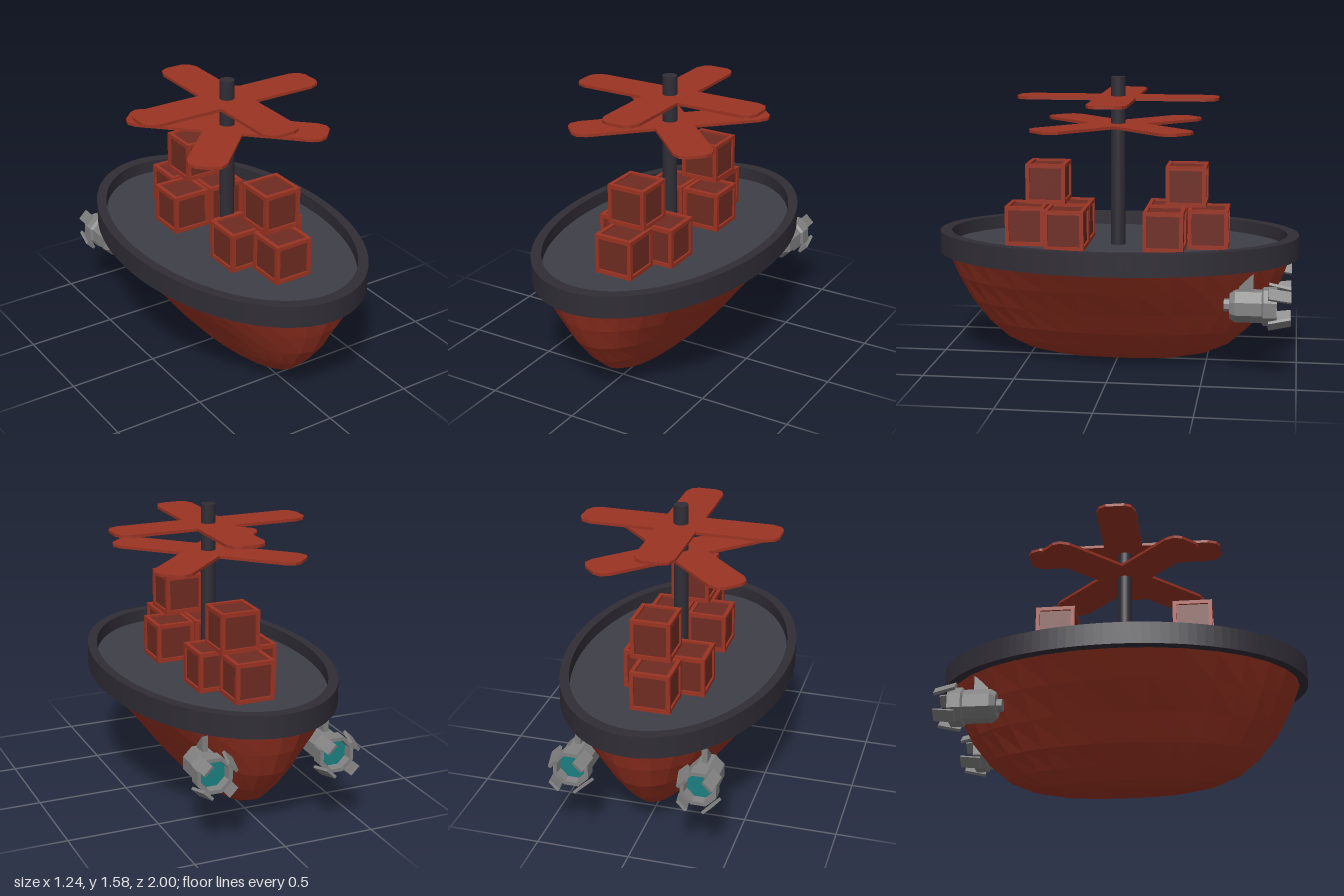
import * as THREE from 'three';

const mat = (color, flatShading = true, side = THREE.FrontSide) =>
  new THREE.MeshStandardMaterial({ color, flatShading, side });
const red = mat(0x9b3322);
const panelRed = mat(0x6e2b21);
const dark = mat(0x302d36, false);
const deckGrey = mat(0x3e3e48);
const metal = mat(0x828282, true, THREE.DoubleSide);
const teal = mat(0x1b7f80, true, THREE.DoubleSide);

function add(parent, name, geometry, material, x = 0, y = 0, z = 0) {
  const mesh = new THREE.Mesh(geometry, material);
  mesh.name = name;
  mesh.position.set(x, y, z);
  parent.add(mesh);
  return mesh;
}

// Hull: stacked elliptical rings, given as [y, half width, half length]
function hullGeometry() {
  const rings = [
    [0, 0, 0], [0, 0.03, 0.18], [0.012, 0.07, 0.34], [0.045, 0.125, 0.5],
    [0.105, 0.19, 0.63], [0.2, 0.27, 0.735], [0.33, 0.367, 0.835],
    [0.47, 0.477, 0.905], [0.6, 0.575, 0.955],
  ];
  const g = new THREE.LatheGeometry(rings.map(([y, , rz]) => new THREE.Vector2(rz, y)), 32);
  const p = g.attributes.position;
  for (let i = 0; i < p.count; i++) {
    const [, rx, rz] = rings[i % rings.length];
    if (rz > 0) p.setX(i, p.getX(i) * rx / rz);
  }
  g.computeVertexNormals();
  return g;
}

// Horizontal elliptical plate or ring standing on y = 0
function ellipsePlate(rx, rz, height, hole) {
  const s = new THREE.Shape().absellipse(0, 0, rx, rz, 0, Math.PI * 2);
  if (hole) s.holes.push(new THREE.Path().absellipse(0, 0, hole[0], hole[1], 0, Math.PI * 2));
  return new THREE.ExtrudeGeometry(s, { depth: height, bevelEnabled: false, curveSegments: 64 })
    .rotateX(-Math.PI / 2);
}

// Four-armed rotor with rounded arm tips
function rotorGeometry() {
  const w = 0.108, arm = [[w, w], [0.48, w], [0.53, 0.088], [0.55, 0.05],
    [0.55, -0.05], [0.53, -0.088], [0.48, -w]];
  const pts = [];
  for (let k = 0; k < 4; k++) {
    const c = Math.round(Math.cos(k * Math.PI / 2)), s = Math.round(Math.sin(k * Math.PI / 2));
    // each arm runs from its clockwise inner corner to its tip
    for (const [x, y] of [...arm].reverse()) pts.push(new THREE.Vector2(x * c - y * s, x * s + y * c));
  }
  return new THREE.ExtrudeGeometry(new THREE.Shape(pts), { depth: 0.016, bevelEnabled: false })
    .rotateX(-Math.PI / 2);
}

// Crate: recessed dark panels inside a frame of twelve bars
function makeCrate(name, x, y, z) {
  const size = 0.22, bar = 0.022, o = (size - bar) / 2;
  const crate = new THREE.Group();
  crate.name = name;
  crate.position.set(x, y, z);
  add(crate, 'cratePanels', new THREE.BoxGeometry(0.198, 0.198, 0.198), panelRed);
  for (const a of [-o, o]) {
    for (const b of [-o, o]) {
      add(crate, 'crateBar', new THREE.BoxGeometry(size, bar, bar), red, 0, a, b);
      add(crate, 'crateBar', new THREE.BoxGeometry(bar, size, bar), red, a, 0, b);
      add(crate, 'crateBar', new THREE.BoxGeometry(bar, bar, size), red, a, b, 0);
    }
  }
  return crate;
}

// Thruster: octagonal nozzle opening to the rear, four flared prongs and a fin
function makeThruster(name, x) {
  const t = new THREE.Group();
  t.name = name;
  t.position.set(x, 0.405, 0);
  const profile = [[0, -0.61], [0.035, -0.61], [0.035, -0.64], [0.07, -0.64], [0.09, -0.67],
    [0.09, -0.81], [0.104, -0.82], [0.104, -0.89], [0.082, -0.89], [0.076, -0.84]];
  const shell = new THREE.LatheGeometry(
    profile.map(([r, z]) => new THREE.Vector2(r, -z)), 8, Math.PI / 8);
  shell.rotateX(-Math.PI / 2);
  add(t, 'nozzle', shell, metal);
  const glow = new THREE.CircleGeometry(0.08, 8, Math.PI / 8).rotateY(Math.PI);
  add(t, 'nozzleCore', glow, teal, 0, 0, -0.845);
  for (let k = 0; k < 4; k++) {
    const pivot = new THREE.Group();
    pivot.name = 'prong';
    pivot.rotation.z = Math.PI / 4 + k * Math.PI / 2;
    const prong = add(pivot, 'prongBlade', new THREE.BoxGeometry(0.016, 0.066, 0.12),
      metal, 0.106, 0, -0.905);
    prong.rotation.y = 0.24;
    t.add(pivot);
  }
  const fin = new THREE.Shape([[0.69, 0.08], [0.765, 0.08], [0.765, 0.17], [0.745, 0.155],
    [0.69, 0.1]].map(([a, b]) => new THREE.Vector2(a, b)));
  const finGeo = new THREE.ExtrudeGeometry(fin, { depth: 0.03, bevelEnabled: false })
    .translate(0, 0, -0.015).rotateY(Math.PI / 2);
  add(t, 'fin', finGeo, metal);
  return t;
}

export function createModel() {
  const ship = new THREE.Group();
  ship.name = 'ship';

  // Hull, rim and deck
  add(ship, 'hull', hullGeometry(), red);
  add(ship, 'rim', ellipsePlate(0.62, 1, 0.122, [0.57, 0.935]), dark, 0, 0.602, 0);
  add(ship, 'deck', ellipsePlate(0.573, 0.938, 0.04), deckGrey, 0, 0.61, 0);

  // Mast and rotors
  add(ship, 'mast', new THREE.CylinderGeometry(0.04, 0.04, 0.96, 24), dark, 0, 1.1, 0);
  const rotor = rotorGeometry();
  add(ship, 'upperRotor', rotor, red, 0, 1.46, 0);
  add(ship, 'lowerRotor', rotor, red, 0, 1.31, 0).rotation.y = Math.PI / 4;

  // Two crate stacks: three below, one on top
  for (const [label, dir, shift] of [['front', 1, 0.02], ['rear', -1, -0.005]]) {
    const stack = new THREE.Group();
    stack.name = label + 'CrateStack';
    stack.add(
      makeCrate('endCrate', shift, 0.76, dir * 0.505),
      makeCrate('rightCrate', shift - 0.122, 0.76, dir * 0.27),
      makeCrate('leftCrate', shift + 0.107, 0.76, dir * 0.27),
      makeCrate('topCrate', 0.027, 1.0, dir * 0.385));
    ship.add(stack);
  }

  // Thrusters on both sides of the stern
  ship.add(makeThruster('leftThruster', 0.343), makeThruster('rightThruster', -0.343));
  return ship;
}
